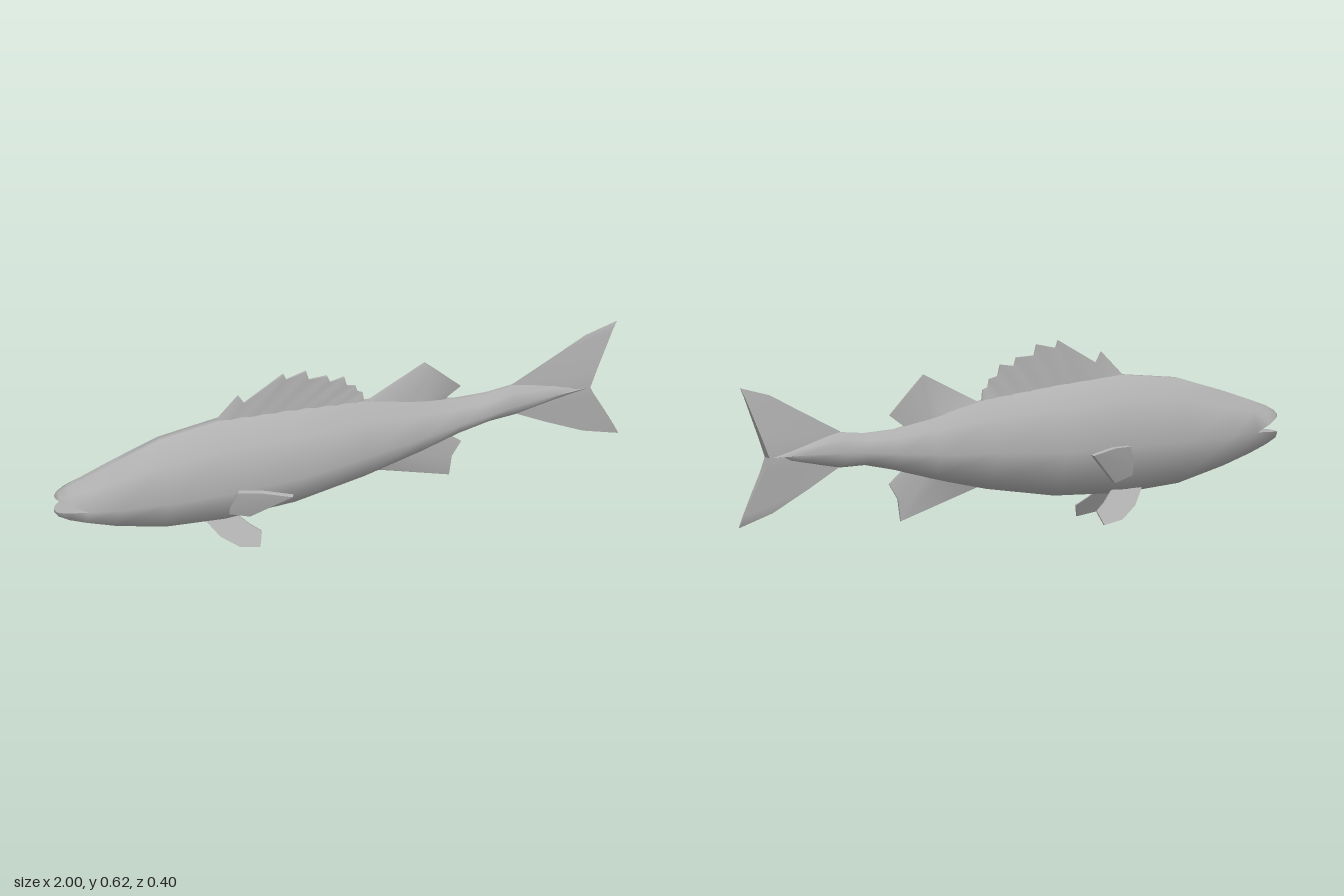
import * as THREE from 'three';
import { mergeGeometries, toCreasedNormals } from 'three/addons/utils/BufferGeometryUtils.js';

const skin = new THREE.MeshStandardMaterial({ color: 0xb0b0b0 });
skin.name = 'grey skin';

// Skin a list of equal-length rings of [x, y, z]; faces are turned outward by signed volume.
function loft(rings, capStart = true, capEnd = true) {
  const n = rings[0].length, last = (rings.length - 1) * n;
  const pts = rings.flat().map(p => new THREE.Vector3(...p));
  const tris = [];
  for (let i = 0; i < rings.length - 1; i++) {
    for (let j = 0; j < n; j++) {
      const a = i * n + j, b = i * n + (j + 1) % n;
      tris.push([a, b, a + n], [b, b + n, a + n]);
    }
  }
  for (let j = 1; j < n - 1; j++) {
    if (capStart) tris.push([0, j + 1, j]);
    if (capEnd) tris.push([last, last + j, last + j + 1]);
  }
  const centre = new THREE.Vector3();
  for (let j = 0; j < n; j++) centre.addScaledVector(pts[j], 1 / n);
  const rel = pts.map(p => p.clone().sub(centre));
  let volume = 0;
  for (const [a, b, c] of tris) volume += rel[a].dot(rel[b].clone().cross(rel[c]));
  const order = volume < 0 ? tris.map(([a, b, c]) => [a, c, b]) : tris;
  const geo = new THREE.BufferGeometry();
  geo.setAttribute('position', new THREE.Float32BufferAttribute(order.flat().flatMap(i => pts[i].toArray()), 3));
  geo.computeVertexNormals();
  return geo;
}

// Half of the eight-sided section: [height fraction, width fraction], top to bottom.
const SECTION = [[1, 0.1], [0.81, 0.62], [0.43, 1], [0.07, 0.54], [0, 0.1]];

function bodyRing([x, bottom, top, w]) {
  const half = SECTION.map(([f, k]) => [x, bottom + f * (top - bottom), k * w]);
  return [...half, ...half.map(([px, y, z]) => [px, y, -z]).reverse()];
}

// Fin standing on the midline: pairs of root and tip points with their half thicknesses.
function midFin(stations) {
  return loft(stations.map(([bx, by, tx, ty, tb, tt]) =>
    [[tx, ty, tt], [bx, by, tb], [bx, by, -tb], [tx, ty, -tt]]));
}

// Thin plate from a 3D outline, thickened along an offset.
function slab(outline, offset) {
  return loft([outline, outline.map(p => p.map((v, k) => v + offset[k]))]);
}

export function createModel() {
  const fish = new THREE.Group();
  fish.name = 'fish';
  const add = (name, geo, crease = 0.6) => {
    const mesh = new THREE.Mesh(toCreasedNormals(geo, crease), skin);
    mesh.name = name;
    fish.add(mesh);
  };

  // Body from the mouth corner to the tail root: x, bottom, top, half width
  const rings = [
    [-0.9, 0.19, 0.37, 0.066], [-0.8, 0.155, 0.407, 0.088], [-0.63, 0.108, 0.463, 0.107],
    [-0.42, 0.09, 0.488, 0.12], [-0.17, 0.098, 0.468, 0.116], [0.08, 0.138, 0.44, 0.093],
    [0.28, 0.185, 0.393, 0.068], [0.42, 0.226, 0.362, 0.051], [0.53, 0.25, 0.357, 0.049],
    [0.62, 0.248, 0.367, 0.035], [0.77, 0.275, 0.335, 0.024], [0.88, 0.297, 0.303, 0.018],
  ].map(bodyRing);

  // Jaws share the front ring and part at the mouth corner
  const front = rings[0];
  const upperStart = [front[7], front[8], front[9], front[0], front[1], front[2]];
  const lowerStart = front.slice(2, 8);
  const jawRing = (x, lip, edge, w, k) => {
    const mid = lip + (edge - lip) * k;
    return [[x, lip, -w], [x, mid, -w * 0.66], [x, edge, -w * 0.12],
      [x, edge, w * 0.12], [x, mid, w * 0.66], [x, lip, w]];
  };
  const upperJaw = loft([upperStart, jawRing(-0.955, 0.288, 0.348, 0.046, 0.67),
    jawRing(-0.99, 0.304, 0.328, 0.024, 0.67), jawRing(-1, 0.31, 0.316, 0.009, 0.67)], false);
  const lowerJaw = loft([lowerStart, jawRing(-0.955, 0.262, 0.213, 0.044, 0.8).reverse(),
    jawRing(-0.99, 0.258, 0.232, 0.024, 0.8).reverse(),
    jawRing(-1, 0.256, 0.246, 0.009, 0.8).reverse()], false);
  add('body', mergeGeometries([loft(rings, false), upperJaw, lowerJaw]), 1.05);

  // Forked tail, thickest along its trailing edge: y, front x, back x, half thickness
  add('tailFin', loft([
    [0.54, 0.985, 0.99, 0.001], [0.51, 0.88, 0.975, 0.004], [0.45, 0.77, 0.95, 0.009],
    [0.37, 0.62, 0.917, 0.014], [0.3, 0.58, 0.89, 0.019], [0.25, 0.62, 0.91, 0.014],
    [0.18, 0.74, 0.945, 0.009], [0.11, 0.87, 0.978, 0.004], [0.07, 0.99, 0.995, 0.001],
  ].map(([y, xf, xb, t]) => [[xf, y, 0], [xb, y, t], [xb, y, -t]])));

  // Spiny front back fin, its roots fluted between spines and membranes
  const spines = [[-0.43, 0.487], [-0.35, 0.57], [-0.33, 0.535], [-0.19, 0.62], [-0.18, 0.595],
    [-0.11, 0.612], [-0.1, 0.575], [-0.035, 0.573], [-0.025, 0.545], [0.025, 0.553],
    [0.035, 0.515], [0.065, 0.507], [0.072, 0.48], [0.09, 0.472], [0.095, 0.43]];
  add('spinyDorsalFin', midFin(spines.map(([x, y], i) => {
    const root = -0.42 + 0.51 * i / (spines.length - 1);
    return [root, 0.475 - 0.09 * (root + 0.42), x, y, i % 2 ? 0.013 : 0.007, i % 2 ? 0.004 : 0.002];
  })), 0.9);

  // Soft rear back fin and the fin below it
  add('softDorsalFin', midFin([[0.11, 0.425, 0.11, 0.435, 0.008, 0.002],
    [0.24, 0.39, 0.31, 0.54, 0.01, 0.003], [0.29, 0.375, 0.35, 0.5, 0.01, 0.003],
    [0.35, 0.36, 0.437, 0.41, 0.007, 0.002], [0.37, 0.36, 0.39, 0.378, 0.004, 0.002]]));
  add('analFin', midFin([[0.11, 0.155, 0.11, 0.145, 0.008, 0.002],
    [0.25, 0.19, 0.395, 0.05, 0.01, 0.003], [0.3, 0.21, 0.405, 0.125, 0.01, 0.003],
    [0.35, 0.22, 0.438, 0.178, 0.007, 0.002], [0.37, 0.23, 0.4, 0.212, 0.004, 0.002]]));

  // Paired side and belly fins
  for (const [side, s] of [['left', 1], ['right', -1]]) {
    add(side + 'PectoralFin', slab([[-0.41, 0.2, 0.1], [-0.39, 0.267, 0.118], [-0.32, 0.27, 0.146],
      [-0.22, 0.258, 0.188], [-0.34, 0.145, 0.102], [-0.41, 0.165, 0.09]]
      .map(([x, y, z]) => [x, y, z * s]), [-0.008, -0.003, 0.01 * s]));
    add(side + 'PelvicFin', slab([[-0.48, 0.108], [-0.44, 0.055], [-0.38, 0.015], [-0.31, 0.002],
      [-0.295, 0.045], [-0.33, 0.07], [-0.37, 0.108]]
      .map(([x, y]) => [x, y, s * (0.04 + (0.1 - y) * 0.62)]), [0, 0, 0.008 * s]));
  }
  return fish;
}
